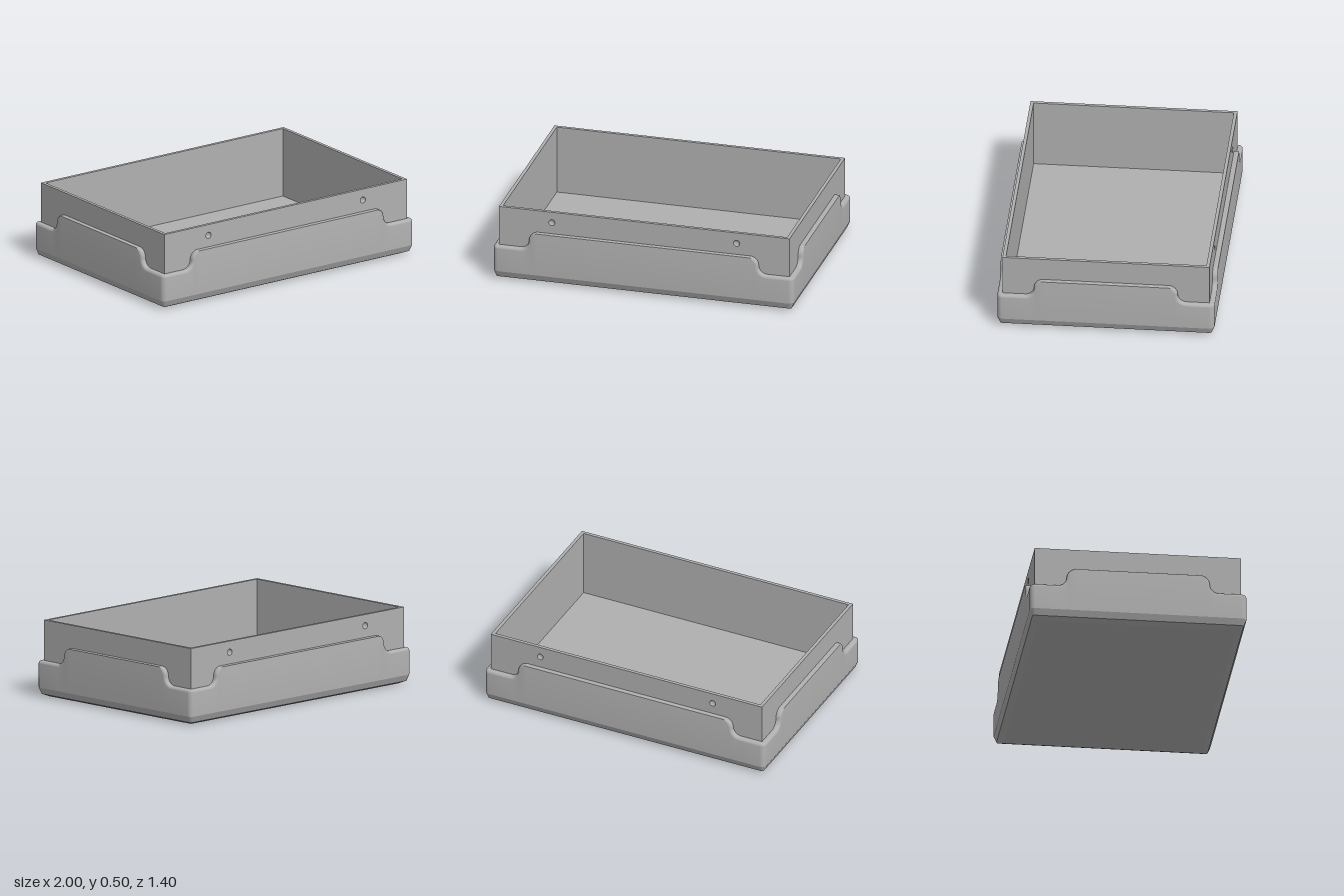
import * as THREE from 'three';
import { toCreasedNormals } from 'three/addons/utils/BufferGeometryUtils.js';

const HX = 0.967, HZ = 0.667;     // half size of the inner tray
const T = 0.033;                  // skirt thickness
const WALL = 0.022, TOP = 0.5, FLOOR = 0.045;
const HIGH = 0.35, LOW = 0.235, R = (HIGH - LOW) / 2, FILLET = 0.018;

// Rim of one half side: flat centre, then an S-curve down to the low corner.
// u along the side, y height, (nu, ny) rim normal, f fillet strength.
function halfRim(e, length) {
  const pts = [];
  for (let i = 0; i <= 8; i++) {
    const a = (Math.PI / 2) * (1 - i / 8), c = Math.cos(a), s = Math.sin(a);
    pts.push({ u: e + R * c, y: HIGH - R + R * s, nu: c, ny: s, f: Math.max(0.05, Math.min(1, i / 4)) });
  }
  for (let i = 1; i <= 8; i++) {
    const a = Math.PI + (Math.PI / 2) * (i / 8), c = Math.cos(a), s = Math.sin(a);
    pts.push({ u: e + 2 * R + R * c, y: LOW + R + R * s, nu: -c, ny: -s, f: 1 });
  }
  pts.push({ u: length, y: LOW, nu: 0, ny: 1, f: 1 });
  return pts;
}

// Cross-section at a rim point: filleted rim, outer face, rounded foot
function section(p, corner, n, t, half) {
  const r = FILLET * p.f, rows = [[0, 0]];
  for (let j = 0; j <= 6; j++) {
    const a = (j / 6) * Math.PI / 2;
    rows.push([T - r + r * Math.sin(a), r * (1 - Math.cos(a))]);
  }
  const place = (d, off, y) => {
    const u = p.u - p.nu * off, inset = Math.min(d, 0), out = Math.max(d, 0);
    let x = corner ? corner[0] : n[0] * HX + t[0] * u;
    let z = corner ? corner[1] : n[1] * HZ + t[1] * u;
    x = THREE.MathUtils.clamp(x, -HX - inset, HX + inset);
    z = THREE.MathUtils.clamp(z, -HZ - inset, HZ + inset);
    return [x + n[0] * out, y ?? p.y - p.ny * off, z + n[1] * out];
  };
  const result = rows.map(([d, off]) => place(d, off));
  for (const [d, y] of [[T, 0.06], [T - 0.018, 0.018], [T - 0.06, 0]]) result.push(place(d, r, y));
  return result;
}

function skirtGeometry() {
  const columns = [];
  for (let k = 0; k < 4; k++) {
    const n = [[0, 1], [1, 0], [0, -1], [-1, 0]][k], t = [n[1], -n[0]];
    const half = k % 2 ? halfRim(0.405, HZ) : halfRim(0.705, HX);
    const side = [...half.map(p => ({ ...p, u: -p.u, nu: -p.nu })).reverse(), ...half];
    for (const p of side) columns.push(section(p, null, n, t));
    // rounded vertical corner
    const corner = [(n[0] + t[0]) * HX, (n[1] + t[1]) * HZ];
    for (let i = 1; i < 6; i++) {
      const a = (i / 6) * Math.PI / 2, c = Math.cos(a), s = Math.sin(a);
      const dir = [n[0] * c + t[0] * s, n[1] * c + t[1] * s];
      columns.push(section({ u: 0, y: LOW, nu: 0, ny: 1, f: 1 }, corner, dir, t));
    }
  }
  const rows = columns[0].length, index = [];
  columns.forEach((_, i) => {
    const next = ((i + 1) % columns.length) * rows, here = i * rows;
    for (let j = 0; j < rows - 1; j++) {
      const a = here + j, b = next + j;
      index.push(a, a + 1, b + 1, a, b + 1, b);
    }
  });
  const g = new THREE.BufferGeometry();
  g.setAttribute('position', new THREE.Float32BufferAttribute(columns.flat(2), 3));
  g.setIndex(index);
  return toCreasedNormals(g, 0.3);
}

export function createModel() {
  const model = new THREE.Group();
  const grey = new THREE.MeshStandardMaterial({ color: 0xb0b0b0 });
  grey.name = 'grey';
  grey.side = THREE.DoubleSide;

  const add = (name, geometry, parent = model, x = 0, y = 0, z = 0) => {
    const mesh = new THREE.Mesh(geometry, grey);
    mesh.name = name;
    mesh.position.set(x, y, z);
    parent.add(mesh);
    return mesh;
  };

  // Outer skirt and underside
  add('skirt', skirtGeometry());
  const foot = 0.027;
  add('underside', new THREE.PlaneGeometry(2 * (HX - foot), 2 * (HZ - foot)).rotateX(Math.PI / 2));

  // Floor and side walls
  const base = 0.02, height = TOP - base, midY = (TOP + base) / 2;
  add('floor', new THREE.BoxGeometry(2 * (HX - WALL), FLOOR - base, 2 * (HZ - WALL)), model, 0, (FLOOR + base) / 2, 0);
  for (const s of [-1, 1]) {
    add(s > 0 ? 'leftWall' : 'rightWall', new THREE.BoxGeometry(WALL, height, 2 * (HZ - WALL)),
      model, s * (HX - WALL / 2), midY, 0);
  }

  // Front and back walls, each with two blind round dimples
  const hole = 0.021, holeX = 0.615, holeY = 0.427, skin = 0.016;
  const face = new THREE.Shape([[-HX, base], [HX, base], [HX, TOP], [-HX, TOP]].map(p => new THREE.Vector2(...p)));
  for (const s of [-1, 1]) {
    face.holes.push(new THREE.Path().absarc(s * holeX, holeY, hole, 0, Math.PI * 2, true));
  }
  const outer = new THREE.ExtrudeGeometry(face, { depth: skin, bevelEnabled: false, curveSegments: 12 });
  const bowl = [];
  for (let i = 0; i <= 6; i++) {
    const a = (i / 6) * Math.PI / 2;
    bowl.push(new THREE.Vector2(hole * Math.sin(a), -0.015 * Math.cos(a)));
  }
  const dimple = new THREE.LatheGeometry(bowl, 24).rotateX(Math.PI / 2);
  for (const [name, turn] of [['frontWall', 0], ['backWall', Math.PI]]) {
    const wall = new THREE.Group();
    wall.name = name;
    wall.rotation.y = turn;
    add('outerPanel', outer, wall, 0, 0, HZ - skin);
    add('innerPanel', new THREE.BoxGeometry(2 * HX, height, WALL - skin), wall, 0, midY, HZ - (WALL + skin) / 2);
    for (const s of [-1, 1]) add('dimple', dimple, wall, s * holeX, holeY, HZ);
    model.add(wall);
  }
  return model;
}
